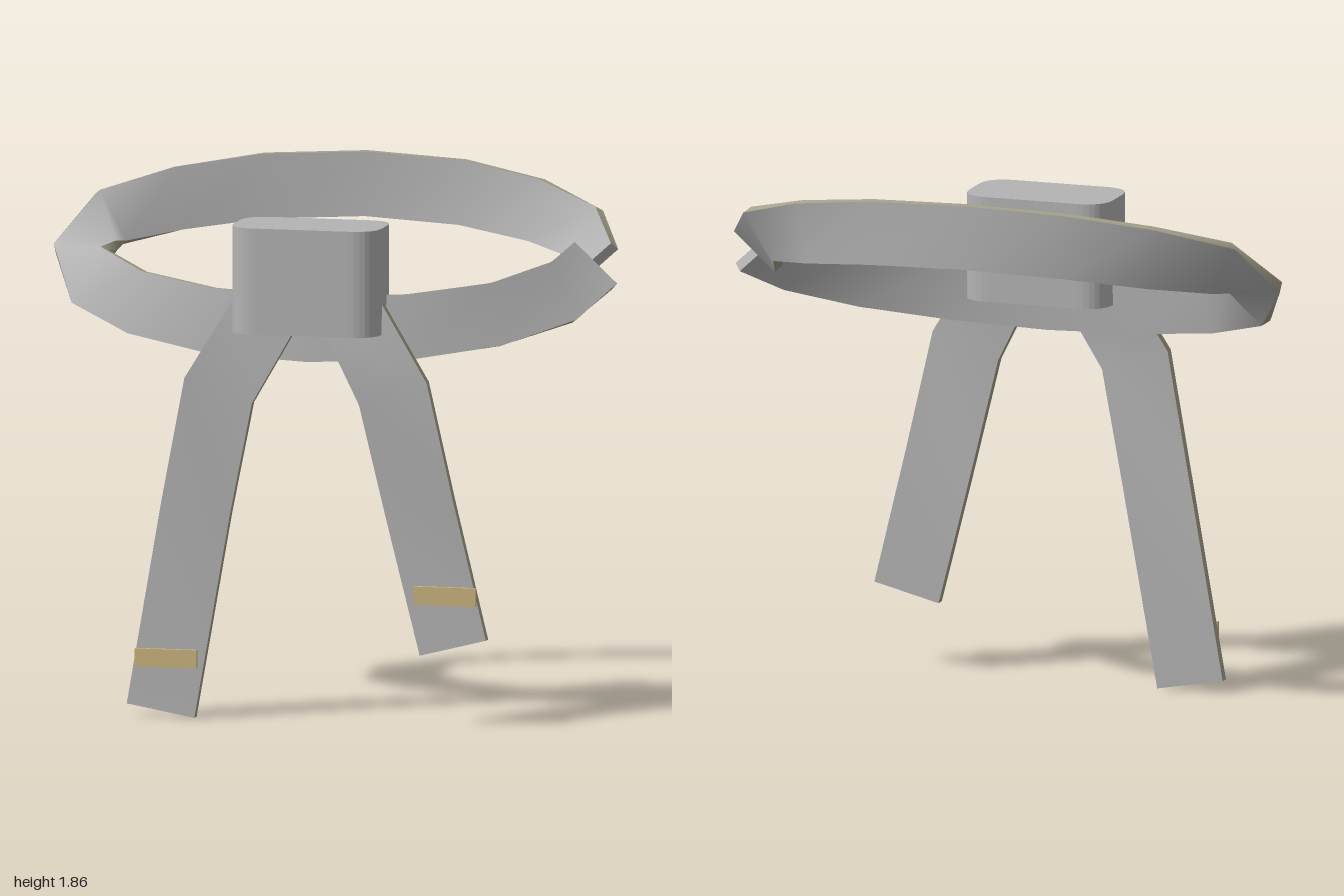
import * as THREE from 'three';

const cloth = new THREE.MeshStandardMaterial({ color: 0xb4b4b4 });
cloth.name = 'grey cloth';
const edging = new THREE.MeshStandardMaterial({ color: 0xa6a28a });
edging.name = 'khaki edging';
const gold = new THREE.MeshStandardMaterial({ color: 0xcbb67e });
gold.name = 'pale gold';

// Strap with thickness: each station is the pair of midline edge points [T, B]
function strap(name, stations, thickness) {
  const T = stations.map(s => new THREE.Vector3(...s[0]));
  const B = stations.map(s => new THREE.Vector3(...s[1]));
  const mid = T.map((t, i) => t.clone().add(B[i]).multiplyScalar(0.5));
  const last = T.length - 1;
  const rings = T.map((t, i) => {
    const along = mid[Math.min(i + 1, last)].clone().sub(mid[Math.max(i - 1, 0)]);
    const n = along.cross(t.clone().sub(B[i])).normalize().multiplyScalar(thickness / 2);
    return [t.clone().add(n), B[i].clone().add(n), B[i].clone().sub(n), t.clone().sub(n)];
  });
  const pos = [], index = [];
  const geo = new THREE.BufferGeometry();
  // four long sides: broad, edge, broad, edge
  for (let k = 0; k < 4; k++) {
    const base = pos.length / 3, start = index.length;
    rings.forEach(r => pos.push(...r[k].toArray(), ...r[(k + 1) % 4].toArray()));
    for (let i = 0; i < last; i++) {
      const p = base + i * 2;
      index.push(p, p + 1, p + 2, p + 1, p + 3, p + 2);
    }
    geo.addGroup(start, index.length - start, k % 2);
  }
  // end caps
  [[0, [0, 2, 1, 0, 3, 2]], [last, [0, 1, 2, 0, 2, 3]]].forEach(([i, tri]) => {
    const base = pos.length / 3;
    rings[i].forEach(v => pos.push(...v.toArray()));
    geo.addGroup(index.length, 6, 0);
    index.push(...tri.map(k => base + k));
  });
  geo.setAttribute('position', new THREE.Float32BufferAttribute(pos, 3));
  geo.setIndex(index);
  geo.computeVertexNormals();
  const mesh = new THREE.Mesh(geo, [cloth, edging]);
  mesh.name = name;
  return mesh;
}

const mirror = s => s.map(([x, y, z]) => [-x, y, z]);

export function createModel() {
  const group = new THREE.Group();
  group.name = 'tiedBelt';

  // waist loop: right-hand half of the back and of the front, mirrored;
  // the band turns over at -x and its free ends cross at +x
  const back = [
    [[0.89, 1.73, -0.24], [0.79, 1.56, -0.21]],
    [[0.65, 1.805, -0.385], [0.62, 1.59, -0.36]],
    [[0.355, 1.85, -0.475], [0.345, 1.625, -0.465]],
  ];
  const front = [
    [[0.35, 1.265, 0.345], [0.34, 1.49, 0.325]],
    [[0.655, 1.31, 0.25], [0.615, 1.525, 0.225]],
    [[0.885, 1.385, 0.11], [0.79, 1.58, 0.08]],
  ];
  group.add(strap('waistLoop', [
    [[0.985, 1.625, -0.07], [0.835, 1.49, -0.07]],
    ...back,
    [[0, 1.865, -0.505], [0, 1.64, -0.505]],
    ...back.map(mirror).reverse(),
    [[-1, 1.555, -0.06], [-0.78, 1.572, -0.06]],
    ...front.map(mirror).reverse(),
    [[0, 1.25, 0.365], [0, 1.475, 0.35]],
    ...front,
    [[0.985, 1.485, -0.07], [0.835, 1.625, -0.07]],
  ], 0.038));

  // hanging tails, each with a gold bar near its end
  group.add(strap('rightTail', [
    [[-0.245, 1.48, 0.395], [-0.04, 1.36, 0.395]],
    [[-0.42, 1.19, 0.425], [-0.18, 1.11, 0.425]],
    [[-0.51, 0.75, 0.393], [-0.265, 0.72, 0.393]],
    [[-0.63, 0.045, 0.402], [-0.39, 0.002, 0.402]],
  ], 0.034));
  group.add(strap('leftTail', [
    [[0.265, 1.48, 0.395], [0.06, 1.38, 0.395]],
    [[0.44, 1.2, 0.425], [0.2, 1.115, 0.425]],
    [[0.525, 0.79, 0.393], [0.285, 0.73, 0.393]],
    [[0.645, 0.305, 0.402], [0.41, 0.245, 0.402]],
  ], 0.034));
  [['rightBar', -0.485, 0.21], ['leftBar', 0.505, 0.458]].forEach(([name, x, y]) => {
    const bar = new THREE.Mesh(new THREE.BoxGeometry(0.22, 0.064, 0.015), gold);
    bar.name = name;
    bar.position.set(x, y, 0.44);
    group.add(bar);
  });

  // knot: upright block with rounded corners
  const w = 0.263, d = 0.147, r = 0.1;
  const outline = new THREE.Shape();
  outline.moveTo(-w + r, -d);
  outline.lineTo(w - r, -d);
  outline.quadraticCurveTo(w, -d, w, -d + r);
  outline.lineTo(w, d - r);
  outline.quadraticCurveTo(w, d, w - r, d);
  outline.lineTo(-w + r, d);
  outline.quadraticCurveTo(-w, d, -w, d - r);
  outline.lineTo(-w, -d + r);
  outline.quadraticCurveTo(-w, -d, -w + r, -d);
  const knotGeo = new THREE.ExtrudeGeometry(outline, { depth: 0.37, bevelEnabled: false, curveSegments: 8 });
  knotGeo.rotateX(-Math.PI / 2);
  const knot = new THREE.Mesh(knotGeo, cloth);
  knot.name = 'knot';
  knot.position.set(0.012, 1.36, 0.371);
  group.add(knot);

  return group;
}
